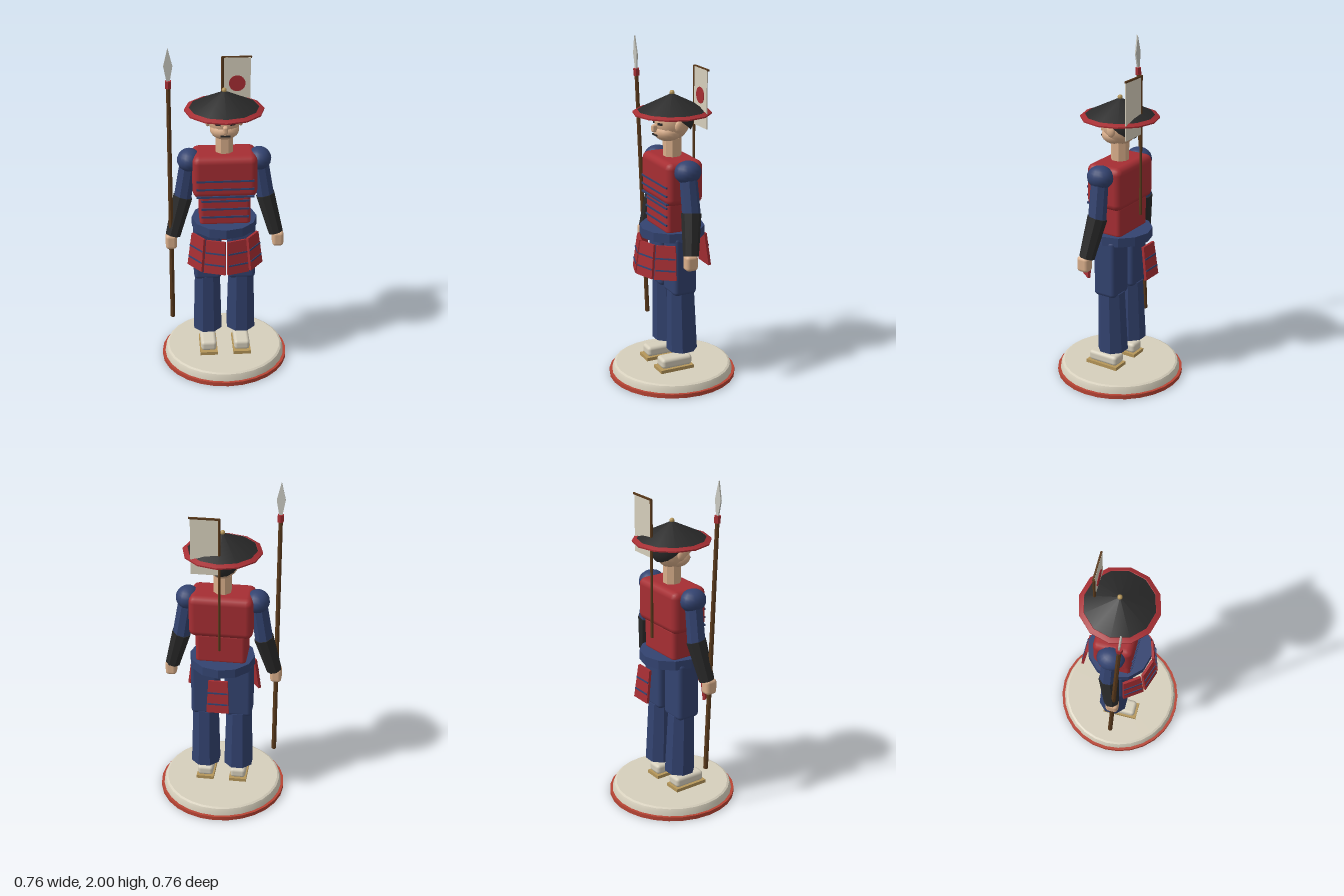
import * as THREE from 'three';
import { toCreasedNormals } from 'three/addons/utils/BufferGeometryUtils.js';
import { RoundedBoxGeometry } from 'three/addons/geometries/RoundedBoxGeometry.js';

const mat = (name, color) => {
  const m = new THREE.MeshStandardMaterial({ color });
  m.name = name;
  return m;
};

export function createModel() {
  const red = mat('lacquer red', 0xa62e33);
  const vermilion = mat('base vermilion', 0xb84434);
  const navy = mat('navy cloth', 0x334370);
  const black = mat('black', 0x2a2a2a);
  const skin = mat('skin', 0xd9ae8a);
  const cream = mat('cream', 0xd6cfbc);
  const wood = mat('dark wood', 0x5a3a1c);
  const gold = mat('straw gold', 0xb6975a);
  const steel = mat('steel', 0xc6c6be);

  const model = new THREE.Group();
  model.name = 'footSoldier';

  // Helpers
  const add = (name, geo, material, x = 0, y = 0, z = 0, parent = model) => {
    const mesh = new THREE.Mesh(geo, material);
    mesh.name = name;
    mesh.position.set(x, y, z);
    parent.add(mesh);
    return mesh;
  };
  const box = (w, h, d) => new THREE.BoxGeometry(w, h, d);
  const rbox = (w, h, d, r) => new RoundedBoxGeometry(w, h, d, 2, r);
  const cyl = (top, bottom, h, sides) =>
    toCreasedNormals(new THREE.CylinderGeometry(top, bottom, h, sides), 0.35);
  const lathe = (pts, sides) =>
    toCreasedNormals(new THREE.LatheGeometry(pts.map(p => new THREE.Vector2(...p)), sides), 0.35);
  const ball = (name, rx, ry, rz, material, x, y, z) => {
    const m = add(name, new THREE.SphereGeometry(1, 16, 12), material, x, y, z);
    m.scale.set(rx, ry, rz);
    return m;
  };
  // Tapered prism running from one point to another
  const limb = (name, from, to, rFrom, rTo, material) => {
    const a = new THREE.Vector3(...from), b = new THREE.Vector3(...to);
    const dir = b.clone().sub(a);
    const geo = cyl(rTo, rFrom, dir.length(), 8);
    geo.rotateY(Math.PI / 8);
    const m = add(name, geo, material);
    m.position.copy(a).add(b).multiplyScalar(0.5);
    m.quaternion.setFromUnitVectors(new THREE.Vector3(0, 1, 0), dir.normalize());
    return m;
  };

  // Display base
  add('baseRim', cyl(0.378, 0.378, 0.024, 28), vermilion, 0, 0.012, 0);
  add('baseTop', lathe([[0, 0.024], [0.362, 0.024], [0.357, 0.05], [0.35, 0.064], [0.338, 0.07], [0, 0.07]], 28), cream);

  // Feet, legs and arms, mirrored
  for (const s of [-1, 1]) {
    add('sandalSole', box(0.105, 0.02, 0.213), gold, s * 0.1, 0.08, 0.036);
    add('foot', rbox(0.094, 0.062, 0.195, 0.02), cream, s * 0.1, 0.121, 0.033);
    limb('shin', [s * 0.1, 0.19, -0.016], [s * 0.1, 0.565, -0.006], 0.09, 0.079, navy);
    add('thigh', rbox(0.162, 0.36, 0.145, 0.025), navy, s * 0.1, 0.73, -0.003);

    ball('shoulder', 0.07, 0.066, 0.08, navy, s * 0.2, 1.3, 0);
    limb('upperArm', [s * 0.243, 1.05, -0.004], [s * 0.205, 1.29, 0], 0.053, 0.05, navy);
    limb('forearm', [s * 0.301, 0.838, 0.028], [s * 0.239, 1.07, -0.004], 0.045, 0.058, black);
    add('hand', rbox(0.066, 0.092, 0.074, 0.02), skin, s * 0.312, 0.805, 0.036);
  }

  // Cuirass with laced bands on the front
  add('chest', rbox(0.37, 0.255, 0.23, 0.04), red, 0, 1.225, 0);
  add('abdomen', rbox(0.295, 0.2, 0.195, 0.025), red, 0, 1.02, 0.003);
  for (const y of [1.21, 1.16, 1.112])
    add('chestLacing', box(0.33, 0.011, 0.02), navy, 0, y, 0.108);
  for (const y of [1.08, 1.03, 0.98])
    add('abdomenLacing', box(0.275, 0.011, 0.02), navy, 0, y, 0.095);
  add('belt', cyl(0.19, 0.19, 0.055, 12), navy, 0, 0.908, 0);

  // Hanging skirt plates: four around the front, one behind
  const plate = new THREE.Shape([[-0.056, 0.1], [-0.065, -0.1], [0.065, -0.1], [0.056, 0.1]]
    .map(p => new THREE.Vector2(...p)));
  const plateGeo = new THREE.ExtrudeGeometry(plate, { depth: 0.016, bevelEnabled: false });
  for (const deg of [-54, -18, 18, 54, 180]) {
    const arm = new THREE.Group();
    arm.name = 'skirtPlate';
    arm.rotation.y = THREE.MathUtils.degToRad(deg);
    const hang = new THREE.Group();
    hang.position.set(0, 0.766, 0.197);
    hang.rotation.x = -0.13;
    arm.add(hang);
    add('plate', plateGeo, red, 0, 0, 0, hang);
    for (const y of [0.025, -0.045])
      add('plateLacing', box(0.116, 0.009, 0.008), navy, 0, y, 0.016, hang);
    model.add(arm);
  }

  // Neck, head and face
  limb('neck', [0, 1.34, 0], [0, 1.46, 0], 0.053, 0.053, skin);
  ball('head', 0.092, 0.108, 0.104, skin, 0, 1.55, 0);
  ball('jaw', 0.083, 0.055, 0.082, skin, 0, 1.495, 0.027);
  const hair = add('hair', new THREE.SphereGeometry(1, 16, 10, 0, Math.PI * 2, 0, Math.PI / 2), black, 0, 1.56, -0.018);
  hair.scale.set(0.1, 0.11, 0.11);
  hair.rotation.x = -0.65;
  add('nose', rbox(0.026, 0.044, 0.036, 0.01), skin, 0, 1.522, 0.11);
  add('mouth', box(0.055, 0.008, 0.008), black, 0, 1.483, 0.108);
  for (const s of [-1, 1]) {
    ball('ear', 0.016, 0.034, 0.026, skin, s * 0.093, 1.538, 0);
    const eye = add('eye', box(0.03, 0.013, 0.009), black, s * 0.041, 1.55, 0.094);
    eye.rotation.y = s * 0.4;
    const brow = add('brow', box(0.044, 0.012, 0.009), black, s * 0.042, 1.577, 0.092);
    brow.rotation.set(-0.2, s * 0.4, s * 0.15);
  }

  // Conical war hat
  add('hat', lathe([[0, 1.602], [0.222, 1.602], [0.2, 1.616], [0, 1.715]], 12), black);
  add('hatRim', lathe([[0.214, 1.599], [0.226, 1.599], [0.226, 1.607], [0.2, 1.619], [0.196, 1.616]], 12), red);
  ball('hatKnob', 0.014, 0.014, 0.014, gold, 0, 1.717, 0);

  // Back banner
  add('bannerPole', cyl(0.008, 0.008, 0.82, 8), wood, 0, 1.45, -0.14);
  add('bannerBar', box(0.172, 0.01, 0.01), wood, 0.081, 1.859, -0.143);
  add('bannerCloth', box(0.153, 0.335, 0.006), cream, 0.083, 1.69, -0.14);
  const disc = add('bannerDisc', cyl(0.047, 0.047, 0.003, 24), red, 0.083, 1.705, -0.1355);
  disc.rotation.x = Math.PI / 2;

  // Spear, leaning slightly forward through the right hand
  const spear = new THREE.Group();
  spear.name = 'spear';
  spear.position.set(-0.312, 0, 0.007);
  spear.rotation.x = 0.04;
  model.add(spear);
  add('spearShaft', cyl(0.012, 0.014, 1.51, 8), wood, 0, 1.035, 0, spear);
  add('spearCollar', cyl(0.019, 0.019, 0.042, 6), red, 0, 1.788, 0, spear);
  const blade = new THREE.Shape([[-0.008, 1.8], [0.008, 1.8], [0.025, 1.895], [0, 2.0], [-0.025, 1.895]]
    .map(p => new THREE.Vector2(...p)));
  add('spearBlade', new THREE.ExtrudeGeometry(blade, { depth: 0.008, bevelEnabled: false }), steel, 0, 0, -0.004, spear);

  return model;
}
